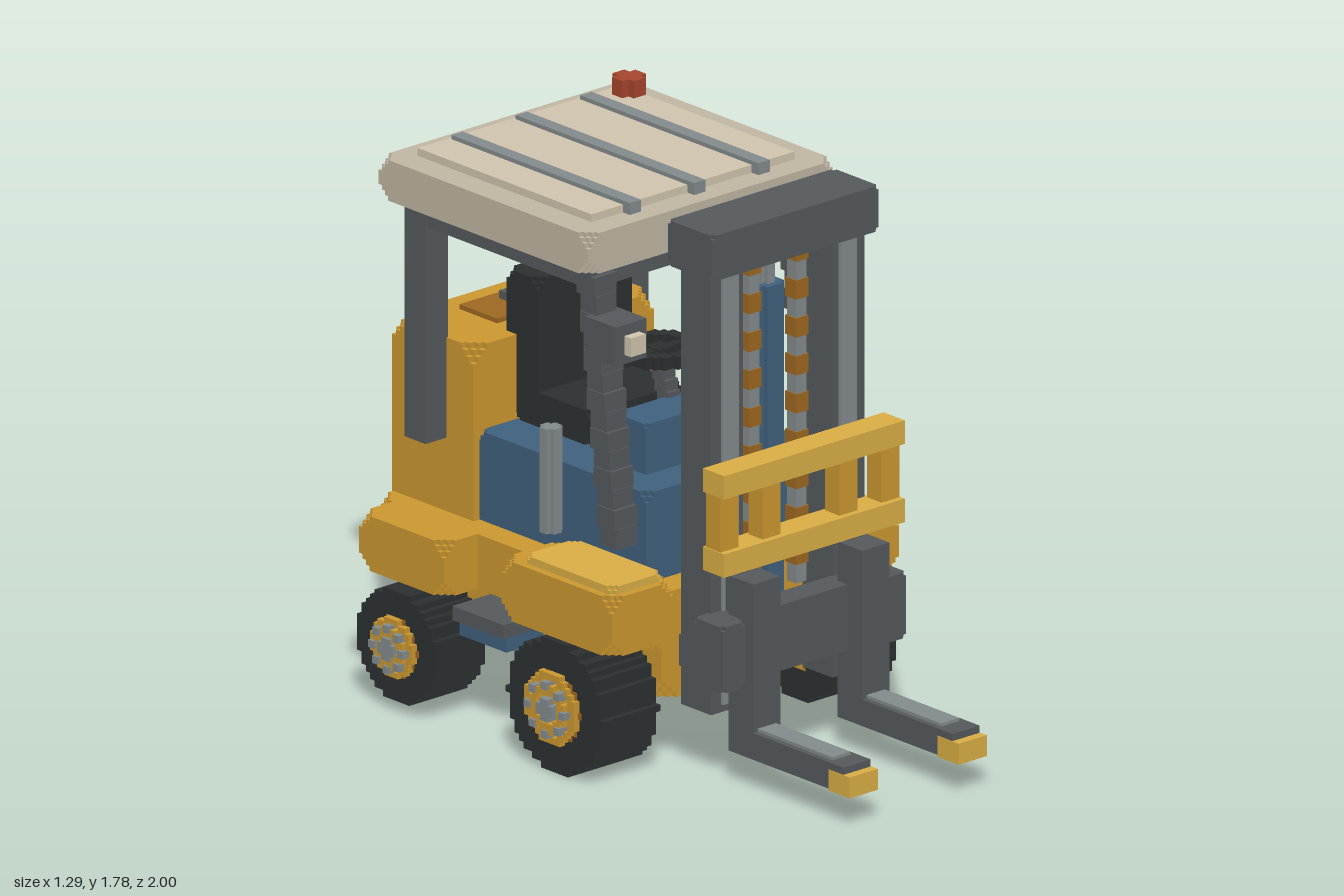
import * as THREE from 'three';
import { mergeGeometries } from 'three/addons/utils/BufferGeometryUtils.js';

const mat = (color) => new THREE.MeshStandardMaterial({ color, flatShading: true });
const M = {
  yellow: mat(0xcf9a30), gold: mat(0xdcb045), brown: mat(0xa06a22), dark: mat(0x575b5e), light: mat(0x858c8e),
  blue: mat(0x40627f), black: mat(0x2c3131), red: mat(0xa8462e), sand: mat(0xd2c7b0), cream: mat(0xc2b9a5),
};

// Box geometry from min/max pairs
const boxGeo = (x, y, z) => new THREE.BoxGeometry(x[1] - x[0], y[1] - y[0], z[1] - z[0])
  .translate((x[0] + x[1]) / 2, (y[0] + y[1]) / 2, (z[0] + z[1]) / 2);

// Box whose edges and corners are cut back in n small steps of size s
function steppedGeo(x, y, z, s = 0.015, n = 3) {
  const inset = (r, k) => [r[0] + k * s, r[1] - k * s];
  const parts = [];
  for (let i = 0; i <= n; i++) for (let j = 0; j <= n - i; j++) {
    parts.push(boxGeo(inset(x, i), inset(y, j), inset(z, n - i - j)));
  }
  return mergeGeometries(parts);
}

// Stair-stepped circle outline
function blockCircle(r, step, PathType = THREE.Shape) {
  const rows = Math.max(2, Math.round((2 * r) / step));
  const h = (2 * r) / rows, right = [];
  for (let i = 0; i < rows; i++) {
    const y0 = -r + i * h, yc = y0 + h / 2;
    const w = Math.max(h / 2, Math.round(Math.sqrt(r * r - yc * yc) / h) * h);
    right.push([w, y0], [w, y0 + h]);
  }
  const left = right.map(([w, y]) => [-w, y]).reverse();
  return new PathType([...right, ...left].map(([a, b]) => new THREE.Vector2(a, b)));
}

// Stepped disc or ring, extruded along +z from 0 to depth
function discGeo(r, depth, hole = 0, step = 0.02) {
  const shape = blockCircle(r, step);
  if (hole) shape.holes.push(blockCircle(hole, step, THREE.Path));
  return new THREE.ExtrudeGeometry(shape, { depth, bevelEnabled: false });
}

export function createModel() {
  const root = new THREE.Group();
  root.name = 'forklift';
  const add = (name, geo, m, parent = root) => {
    const mesh = new THREE.Mesh(geo, M[m]);
    mesh.name = name;
    parent.add(mesh);
    return mesh;
  };
  const box = (name, m, x, y, z, parent) => add(name, boxGeo(x, y, z), m, parent);
  const stepped = (name, m, x, y, z, s, n) => add(name, steppedGeo(x, y, z, s, n), m);
  const side = (s, a, b) => (s > 0 ? [a, b] : [-b, -a]);
  const upright = (name, m, r, x, y, z, step) => add(name,
    discGeo(r, y[1] - y[0], 0, step).rotateX(-Math.PI / 2).translate(x, y[0], z), m);

  // Wheels and axles
  const wheel = (s, z, r, inner, name) => {
    const g = new THREE.Group();
    g.name = name;
    g.position.set(0, 0.21, z);
    root.add(g);
    const disc = (part, m, rad, a, b, hole, step, dy = 0, dz = 0) => add(part,
      discGeo(rad, b - a, hole, step).rotateY(s * Math.PI / 2).translate(s * a, dy, dz), m, g);
    const rim = r * 0.53;
    disc('tire', 'black', r, inner, 0.6, rim, 0.02);
    disc('rim', 'brown', rim, inner + 0.01, 0.605, 0, 0.02);
    disc('rimRing', 'yellow', rim, inner, 0.622, rim * 0.8, 0.016);
    disc('rimPlate', 'yellow', rim * 0.7, 0.6, 0.635, rim * 0.4, 0.016);
    disc('hub', 'light', 0.036, 0.6, 0.645, 0, 0.018);
    for (let i = 0; i < 8; i++) {
      const a = i * Math.PI / 4;
      disc('bolt', 'light', 0.012, 0.6, 0.645, 0, 0.012, Math.sin(a) * rim * 0.7, Math.cos(a) * rim * 0.7);
    }
  };
  for (const s of [1, -1]) {
    wheel(s, 0.035, 0.21, 0.37, 'frontWheel');
    wheel(s, -0.675, 0.175, 0.4, 'rearWheel');
  }
  for (const z of [0.035, -0.675]) {
    add('axle', discGeo(0.036, 0.84, 0, 0.018).rotateY(Math.PI / 2).translate(-0.42, 0.195, z), 'dark');
  }

  // Chassis, fenders and counterweight
  stepped('chassis', 'yellow', [-0.37, 0.37], [0.23, 0.57], [-0.92, 0.26], 0.02);
  stepped('bodySides', 'yellow', [-0.43, 0.43], [0.4, 0.575], [-0.95, 0.26]);
  stepped('rearFenders', 'yellow', [-0.565, 0.565], [0.4, 0.575], [-0.88, -0.5]);
  stepped('counterweight', 'yellow', [-0.365, 0.365], [0.5, 1.13], [-0.955, -0.59], 0.018);
  box('hatch', 'brown', [-0.17, 0.17], [1.12, 1.145], [-0.87, -0.7]);
  box('hatchHandle', 'dark', [-0.045, 0.045], [1.14, 1.17], [-0.83, -0.77]);
  for (const s of [1, -1]) {
    stepped('frontFender', 'yellow', side(s, 0.33, 0.58), [0.42, 0.61], [-0.225, 0.27]);
    stepped('fenderTop', 'gold', side(s, 0.35, 0.555), [0.56, 0.635], [-0.15, 0.245], 0.012, 2);
    box('step', 'dark', side(s, 0.36, 0.54), [0.33, 0.375], [-0.49, -0.26]);
    box('stepBracket', 'blue', side(s, 0.36, 0.52), [0.28, 0.33], [-0.48, -0.27]);
    box('tailLight', 'red', side(s, 0.25, 0.33), [0.47, 0.565], [-0.98, -0.93]);
    upright('grabHandle', 'light', 0.032, s * 0.385, [0.65, 0.985], -0.22, 0.016);
  }
  stepped('rearBumper', 'dark', [-0.4, 0.4], [0.33, 0.47], [-1, -0.9], 0.012, 2);
  box('grille', 'black', [-0.24, 0.24], [0.63, 0.92], [-0.97, -0.94]);
  for (const y of [0.69, 0.78, 0.87]) box('grilleSlat', 'dark', [-0.2, 0.2], [y - 0.022, y + 0.022], [-1, -0.96]);

  // Cab: floor, dash, seat and controls
  stepped('cabBody', 'blue', [-0.34, 0.34], [0.5, 0.86], [-0.6, 0.16], 0.015, 2);
  stepped('dashboard', 'blue', [-0.23, 0.23], [0.8, 1.02], [-0.11, 0.035], 0.012, 1);
  stepped('seatCushion', 'black', [-0.19, 0.19], [0.855, 0.97], [-0.6, -0.26], 0.012, 2);
  stepped('seatBack', 'black', [-0.19, 0.19], [0.9, 1.33], [-0.635, -0.495], 0.015, 2);
  add('steeringWheel', discGeo(0.125, 0.04, 0.085).rotateX(-Math.PI / 2).translate(0, 1.13, -0.16), 'black');
  box('steeringSpoke', 'black', [-0.1, 0.1], [1.135, 1.16], [-0.175, -0.145]);
  box('steeringHub', 'black', [-0.03, 0.03], [1.12, 1.165], [-0.19, -0.13]);
  for (let i = 0; i < 8; i++) {
    const y = 0.86 + i * 0.034, z = -0.075 - i * 0.011;
    box('steeringColumn', 'dark', [-0.025, 0.025], [y, y + 0.04], [z - 0.025, z + 0.025]);
  }
  box('lever', 'light', [0.19, 0.215], [0.85, 1], [-0.17, -0.145]);
  box('leverKnob', 'black', [0.175, 0.23], [0.99, 1.05], [-0.185, -0.13]);

  // Overhead guard
  for (const s of [1, -1]) {
    const x = side(s, 0.36, 0.45);
    box('rearPillar', 'dark', x, [0.81, 1.59], [-0.805, -0.71]);
    box('roofRail', 'dark', x, [1.505, 1.59], [-0.8, 0.03]);
    for (let i = 0; i < 14; i++) {
      const y = 0.7 + i * 0.06, z = 0.105 - i * 0.0075, w = i % 2 ? 0.04 : 0.036;
      box('frontPillar', 'dark', side(s, i % 2 ? 0.36 : 0.365, i % 2 ? 0.45 : 0.445), [y, y + 0.065], [z - w, z + w]);
    }
    box('headlight', 'dark', side(s, 0.345, 0.47), [1.3, 1.425], [0.03, 0.165]);
    box('headlightLens', 'sand', side(s, 0.375, 0.435), [1.33, 1.39], [0.16, 0.195]);
  }
  for (const z of [-0.76, -0.005]) box('roofCrossbar', 'dark', [-0.37, 0.37], [1.505, 1.58], [z - 0.035, z + 0.035]);
  stepped('roof', 'cream', [-0.5, 0.5], [1.57, 1.7], [-0.865, 0.075], 0.014, 3);
  box('roofPanel', 'sand', [-0.41, 0.41], [1.69, 1.725], [-0.79, -0.01]);
  for (const x of [-0.26, 0, 0.26]) box('roofRib', 'light', [x - 0.023, x + 0.023], [1.7, 1.738], [-0.78, 0.02]);
  upright('beacon', 'red', 0.048, 0.385, [1.69, 1.78], -0.725, 0.024);

  // Mast: rails, lift cylinder and chains
  stepped('mastTop', 'dark', [-0.335, 0.335], [1.615, 1.76], [0.25, 0.45], 0.012, 1);
  box('mastBottom', 'dark', [-0.3, 0.3], [0.33, 0.43], [0.26, 0.4]);
  for (const s of [1, -1]) {
    box('mastRail', 'dark', side(s, 0.18, 0.31), [0.215, 1.63], [0.28, 0.415]);
    box('mastSlide', 'light', side(s, 0.205, 0.27), [0.24, 1.62], [0.3, 0.425]);
    for (let i = 0; i < 18; i++) {
      const y = 0.53 + i * 0.0606, w = i % 2 ? 0.025 : 0.021;
      box('chainLink', i % 2 ? 'brown' : 'light', [s * 0.095 - w, s * 0.095 + w], [y, y + 0.0606], [0.35 - w, 0.35 + w]);
    }
  }
  upright('liftCylinder', 'blue', 0.048, 0, [0.45, 1.5], 0.312, 0.016);
  upright('liftRod', 'light', 0.028, 0, [1.49, 1.63], 0.312, 0.014);

  // Carriage, load guard and forks
  box('carriage', 'dark', [-0.36, 0.36], [0.33, 0.54], [0.41, 0.5]);
  for (const s of [1, -1]) {
    stepped('carriageEnd', 'dark', side(s, 0.28, 0.37), [0.33, 0.54], [0.405, 0.535], 0.012, 1);
    const x = side(s, 0.165, 0.275);
    box('forkShank', 'dark', x, [0.105, 0.665], [0.455, 0.565]);
    box('forkTine', 'dark', x, [0.105, 0.19], [0.5, 0.97]);
    box('forkPlate', 'light', side(s, 0.183, 0.257), [0.18, 0.2], [0.56, 0.9]);
    box('forkTip', 'gold', side(s, 0.163, 0.277), [0.1, 0.167], [0.905, 1]);
    for (const c of [0.325, 0.155]) box('guardBar', 'yellow', side(s, c - 0.036, c + 0.036), [0.74, 0.98], [0.45, 0.515]);
    box('guardMount', 'dark', side(s, 0.2, 0.26), [0.52, 0.74], [0.42, 0.47]);
  }
  for (const y of [0.7, 0.95]) box('guardRail', 'gold', [-0.365, 0.365], [y, y + 0.075], [0.44, 0.535]);

  return root;
}
